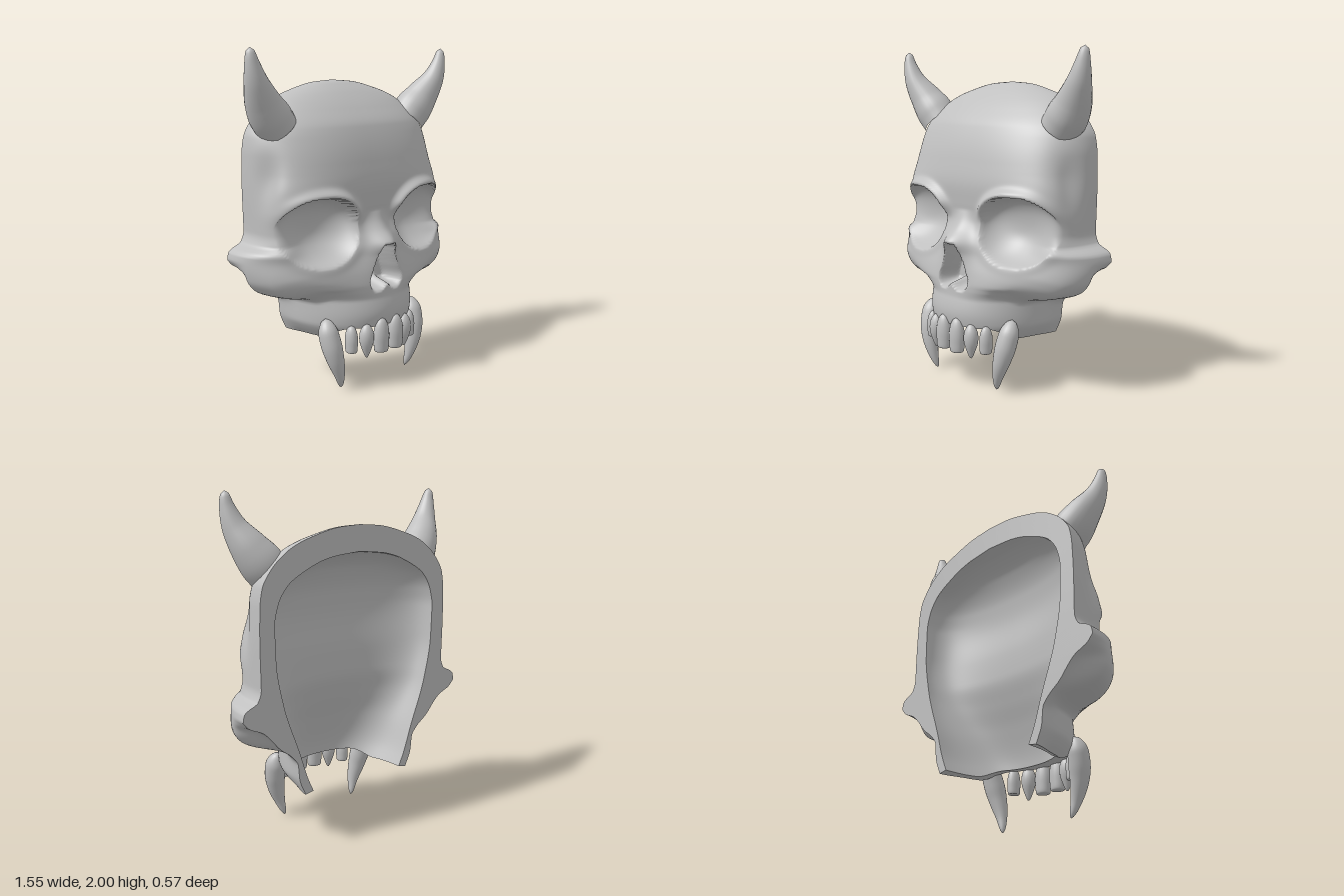
import * as THREE from 'three';
import { mergeVertices } from 'three/addons/utils/BufferGeometryUtils.js';

const BACK = -0.29;
const smooth = (a, b, x) => THREE.MathUtils.smoothstep(x, a, b);
const bell = (x, w) => Math.exp(-((x / w) ** 2));
const mix = THREE.MathUtils.lerp;

// Smooth curve without overshoot through [key, value] pairs
function keyed(pts) {
  const slope = pts.slice(1).map((p, i) => (p[1] - pts[i][1]) / (p[0] - pts[i][0]));
  const tan = pts.map((_, i) => {
    if (i === 0) return slope[0];
    if (i === pts.length - 1) return slope[i - 1];
    const a = slope[i - 1], b = slope[i];
    return a * b <= 0 ? 0 : (2 * a * b) / (a + b);
  });
  return (x) => {
    if (x <= pts[0][0]) return pts[0][1];
    for (let i = 0; i < slope.length; i++) {
      if (x > pts[i + 1][0]) continue;
      const h = pts[i + 1][0] - pts[i][0], t = (x - pts[i][0]) / h, s = 1 - t;
      return pts[i][1] * (1 + 2 * t) * s * s + pts[i + 1][1] * (3 - 2 * t) * t * t
        + h * (tan[i] * t * s * s - tan[i + 1] * t * t * s);
    }
    return pts[pts.length - 1][1];
  };
}

// Surface from fn(u, v) -> [x, y, z]
function grid(nu, nv, fn, flip = false) {
  const pos = [], idx = [];
  for (let j = 0; j <= nv; j++) for (let i = 0; i <= nu; i++) pos.push(...fn(i / nu, j / nv));
  for (let j = 0; j < nv; j++) for (let i = 0; i < nu; i++) {
    const a = j * (nu + 1) + i, b = a + 1, d = a + nu + 1, c = d + 1;
    idx.push(...(flip ? [a, c, b, a, d, c] : [a, b, c, a, c, d]));
  }
  let geo = new THREE.BufferGeometry();
  geo.setAttribute('position', new THREE.Float32BufferAttribute(pos, 3));
  geo.setIndex(idx);
  geo = mergeVertices(geo, 1e-5);
  geo.computeVertexNormals();
  return geo;
}

// Tapered round spike along a curve
function spike(points, radii) {
  const curve = new THREE.CatmullRomCurve3(points.map((p) => new THREE.Vector3(...p)));
  const n = 32, frames = curve.computeFrenetFrames(n), radius = keyed(radii);
  return grid(24, n, (u, v) => {
    const k = Math.round(v * n), a = u * Math.PI * 2, r = radius(v);
    const p = curve.getPointAt(v)
      .addScaledVector(frames.normals[k], r * Math.cos(a))
      .addScaledVector(frames.binormals[k], r * Math.sin(a));
    return [p.x, p.y, p.z];
  });
}

// Outer skull: half width, width at the back cut, front depth and squareness by height
const width = keyed([[0.3, 0.355], [0.34, 0.39], [0.4, 0.42], [0.52, 0.425], [0.56, 0.48], [0.59, 0.62],
  [0.64, 0.715], [0.7, 0.757], [0.8, 0.777], [0.845, 0.768], [0.872, 0.73], [0.89, 0.688], [0.96, 0.662],
  [1.2, 0.665], [1.4, 0.66], [1.5, 0.645], [1.6, 0.585], [1.69, 0.48], [1.73, 0.4], [1.76, 0.31],
  [1.79, 0.2], [1.8, 0.14], [1.81, 0]]);
const cutWidth = keyed([[0.3, 0.38], [0.4, 0.42], [0.49, 0.43], [0.55, 0.475], [0.6, 0.54], [0.72, 0.655],
  [0.76, 0.74], [0.8, 0.777]]);
const front = keyed([[0.3, 0.2], [0.38, 0.24], [0.45, 0.25], [0.6, 0.22], [0.7, 0.195], [0.8, 0.165],
  [0.9, 0.14], [1, 0.12], [1.1, 0.13], [1.2, 0.137], [1.35, 0.115], [1.55, 0.05], [1.65, -0.03],
  [1.74, -0.13], [1.78, -0.19], [1.8, -0.23], [1.81, BACK]]);
const square = keyed([[0.3, 2.2], [0.54, 2.2], [0.61, 2.7], [0.7, 2.7], [0.8, 2.55], [0.95, 3.5], [1.12, 3.7],
  [1.3, 3], [1.5, 2.5], [1.81, 2.1]]);
const noseBump = keyed([[0.55, 0], [0.62, 0.015], [0.7, 0.035], [0.8, 0.075], [0.87, 0.12], [0.95, 0.06], [1.06, 0]]);
const noseHole = keyed([[0.6, 0.105], [0.65, 0.115], [0.72, 0.09], [0.8, 0.06], [0.87, 0.04]]);

function section(t, w, d, n) {
  const s = Math.sin(t), c = Math.max(0, Math.cos(t));
  const r = (Math.abs(s) ** n + c ** n) ** (-1 / n);
  return [w * r * s, BACK + d * r * c];
}

const rise = (v) => 1 - (1 - v) ** 1.5;
// Bottom edge lifts over the front teeth
const biteLift = (t, v) => smooth(0.5, 0.85, Math.cos(t)) * (1 - v) ** 8;

function outer(u, v) {
  const t = (u - 0.5) * Math.PI;
  const y = 0.3 + 1.51 * rise(v) + 0.08 * biteLift(t, v);
  let [x, z] = section(t, width(y), front(y) - BACK, square(y));
  // Cheek edge rises towards the nose and thins towards the back, temples are slightly hollow
  const tuck = 0.05 * smooth(0, 0.15, z) * smooth(0.42, 0.52, y) * (1 - smooth(0.7, 0.85, y));
  if (tuck > 0) x *= width(y - tuck) / width(y);
  if (y < 0.8) x *= mix(1, cutWidth(y) / width(y), smooth(0.12, 0.29, -z));
  x *= 1 - 0.05 * bell(z + 0.08, 0.08) * bell(y - 1.27, 0.15);
  const fade = smooth(BACK, -0.1, z);
  // Nose bridge
  z += noseBump(y) * bell(x, 0.06 + Math.max(0, 1.05 - y) * 0.25) * fade;
  // Brow ridge, socket rim and bowl-shaped eye socket
  const side = Math.abs(x);
  const e = (Math.abs((side - 0.39) / 0.24) ** 2.2 + Math.abs((y - 0.97) / 0.2) ** 2.2) ** (1 / 2.2);
  z += (0.04 * smooth(0.99, 1.1, y) * bell(side - 0.26, 0.3) + 0.006) * bell(e - 1.06, 0.14) * fade;
  const socket = Math.max(0, 1 - e * e) ** mix(0.85, 0.4, smooth(0.85, 1.08, y));
  z = mix(z, Math.min(z, -0.035), socket);
  // Nose opening, notched at the bottom centre
  const low = 0.605 + 0.03 * bell(x, 0.03);
  const hole = (1 - smooth(0.7, 1.1, side / noseHole(y)))
    * smooth(low - 0.015, low + 0.025, y) * (1 - smooth(0.83, 0.875, y));
  z = mix(z, Math.min(z, 0.085), hole);
  return [x, y, z];
}

// Inner hollow
const inWidth = keyed([[0.31, 0.325], [0.4, 0.365], [0.55, 0.415], [0.85, 0.52], [1.1, 0.565], [1.3, 0.57],
  [1.4, 0.55], [1.5, 0.49], [1.6, 0.32], [1.64, 0.19], [1.66, 0]]);
const inFront = keyed([[0.31, 0.11], [0.4, 0.1], [0.6, 0.045], [0.75, -0.01], [0.9, -0.05], [1.05, -0.055],
  [1.25, -0.045], [1.4, -0.06], [1.55, -0.12], [1.63, -0.21], [1.66, BACK]]);
function inner(u, v) {
  const t = (u - 0.5) * Math.PI;
  const y = 0.31 + 1.35 * rise(v) + 0.045 * biteLift(t, v);
  const [x, z] = section(t, inWidth(y), inFront(y) - BACK, 2.4);
  return [x, y, z];
}

const between = (a, b, k) => a.map((p, i) => mix(p, b[i], k));

export function createModel() {
  const group = new THREE.Group();
  const bone = new THREE.MeshStandardMaterial({ color: 0xc0c0c0 });
  bone.name = 'bone grey';
  const add = (name, geo) => {
    const mesh = new THREE.Mesh(geo, bone);
    mesh.name = name;
    group.add(mesh);
    return mesh;
  };

  add('skullFace', grid(260, 170, outer));
  add('skullHollow', grid(80, 70, inner, true));
  // Flat cut at the back and the lower jaw edge
  add('rightBackRim', grid(1, 170, (u, v) => between(inner(0, v), outer(0, v), u)));
  add('leftBackRim', grid(1, 170, (u, v) => between(outer(1, v), inner(1, v), u)));
  add('jawEdge', grid(130, 1, (u, v) => between(inner(u, 0), outer(u, 0), v)));

  // Tooth outlines as [radius, height], bottom to top
  const blunt = [[0, 0], [0.7, 0.005], [0.9, 0.05], [0.97, 0.25], [1, 0.5], [0.85, 0.75], [0.5, 0.93], [0, 1]];
  const pointed = [[0, 0], [0.2, 0.03], [0.55, 0.2], [0.9, 0.42], [1, 0.62], [0.85, 0.8], [0.45, 0.95], [0, 1]];
  const teeth = [
    ['frontTooth', blunt, 0.057, 0.22, 0.24, 0.21, 0.051, 0.043],
    ['pointedTooth', pointed, 0.152, 0.195, 0.215, 0.21, 0.045, 0.043],
    ['sideTooth', blunt, 0.232, 0.235, 0.17, 0.165, 0.037, 0.042],
  ];

  for (const [side, s] of [['left', 1], ['right', -1]]) {
    add(side + 'Horn', spike(
      [[0.5 * s, 1.55, -0.15], [0.545 * s, 1.605, -0.145], [0.61 * s, 1.69, -0.125], [0.68 * s, 1.81, -0.085],
        [0.715 * s, 1.92, -0.07], [0.727 * s, 1.998, -0.07]],
      [[0, 0.118], [0.15, 0.122], [0.38, 0.102], [0.62, 0.07], [0.84, 0.041], [0.96, 0.024], [0.99, 0.014], [1, 0]]));
    add(side + 'Fang', spike(
      [[0.34 * s, 0.44, 0.06], [0.342 * s, 0.36, 0.09], [0.322 * s, 0.22, 0.122], [0.29 * s, 0.1, 0.127],
        [0.262 * s, 0.002, 0.11]],
      [[0, 0], [0.04, 0.03], [0.2, 0.06], [0.35, 0.062], [0.55, 0.053], [0.8, 0.031], [0.96, 0.013], [1, 0]]));
    for (const [name, outline, x, y, z, height, rx, rz] of teeth) {
      const curve = new THREE.SplineCurve(outline.map((p) => new THREE.Vector2(...p)));
      const profile = curve.getPoints(20).map((p) => new THREE.Vector2(Math.max(0, p.x), p.y));
      const tooth = add(side + name[0].toUpperCase() + name.slice(1), new THREE.LatheGeometry(profile, 20));
      tooth.scale.set(rx, height, rz);
      tooth.position.set(x * s, y, z);
    }
  }
  return group;
}
